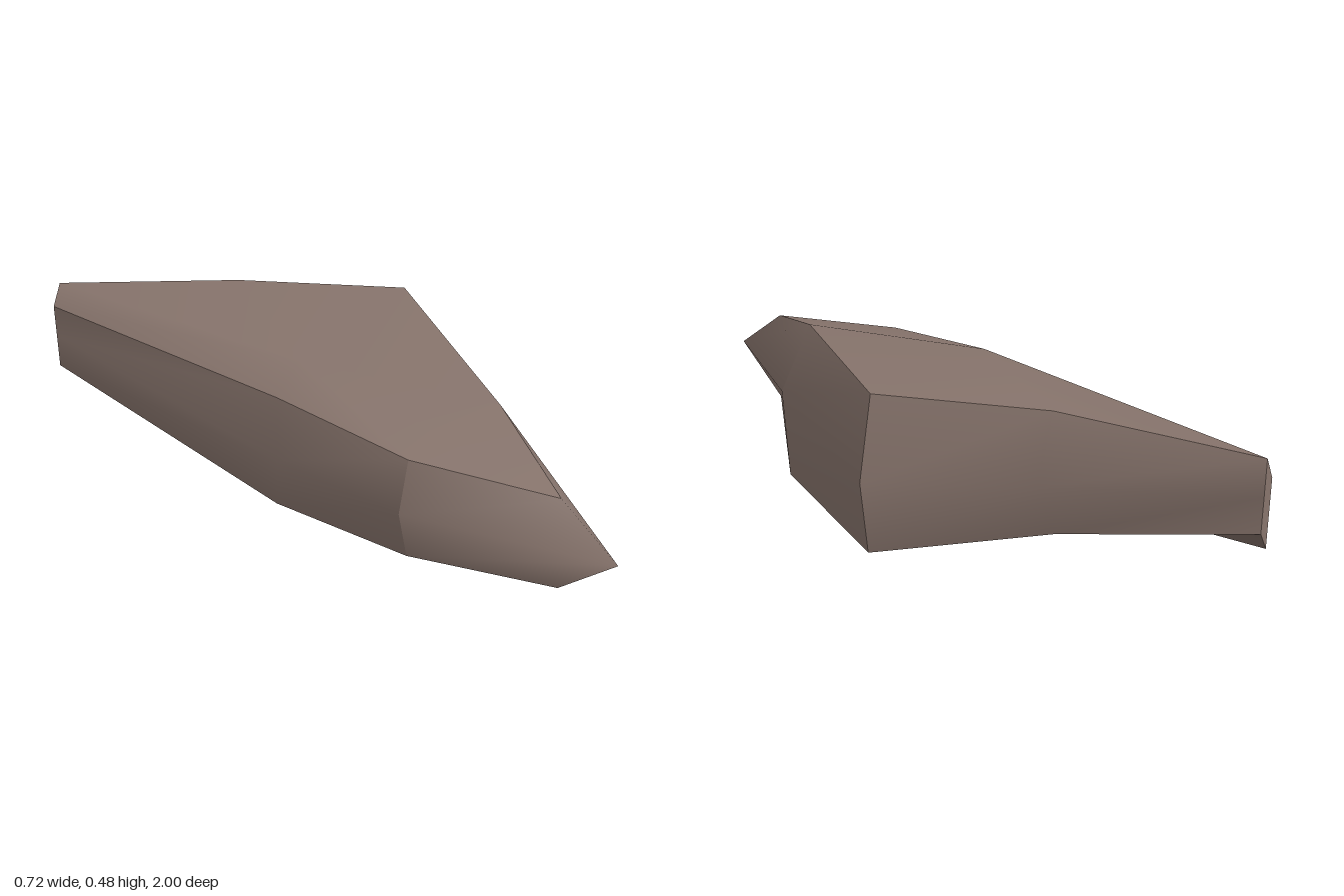
import * as THREE from 'three';

// Three rings of corners, running front tip -> left side -> back end -> right side
const top = [
  [-0.2, 0.365, 0.82], [-0.035, 0.452, 0.52], [0.3, 0.478, -0.04], [0.05, 0.468, -0.48],
  [-0.2, 0.395, -1], [-0.235, 0.327, -1], [-0.305, 0.395, -0.04], [-0.32, 0.385, 0.42],
];
const middle = [
  [-0.2, 0.23, 1], [0.095, 0.27, 0.52], [0.36, 0.23, -0.05], [0.11, 0.26, -0.48],
  [-0.2, 0.28, -1], [-0.235, 0.22, -1], [-0.36, 0.23, 0], [-0.36, 0.23, 0.42],
];
const bottom = [
  [-0.2, 0.075, 0.83], [0.11, 0.005, 0.48], [0.33, 0, -0.05], [0.03, 0.086, -0.48],
  [-0.2, 0.17, -1], [-0.235, 0.112, -1], [-0.32, 0.04, -0.04], [-0.32, 0.065, 0.42],
];
const rings = [bottom, middle, top];

export function createModel() {
  const group = new THREE.Group();
  group.name = 'stoneShard';
  const stone = new THREE.MeshStandardMaterial({ color: 0x87746c });
  stone.name = 'brown stone';

  function addMesh(name, points, index) {
    const geometry = new THREE.BufferGeometry();
    geometry.setAttribute('position', new THREE.Float32BufferAttribute(points.flat(), 3));
    geometry.setIndex(index);
    geometry.computeVertexNormals();
    const mesh = new THREE.Mesh(geometry, stone);
    mesh.name = name;
    group.add(mesh);
  }

  // Side wall through the given corners, smooth inside and sharp at its borders
  function addWall(name, corners) {
    const n = corners.length;
    const points = rings.flatMap((ring) => corners.map((c) => ring[c]));
    const index = [];
    for (let row = 0; row < 2; row++) {
      for (let i = 0; i < n - 1; i++) {
        const a = row * n + i, b = a + 1, c = b + n, d = a + n;
        index.push(a, b, c, a, c, d);
      }
    }
    addMesh(name, points, index);
  }

  // Cap fanned around an inner point
  function addCap(name, centre, ring, up) {
    const index = [];
    for (let i = 0; i < ring.length; i++) {
      const a = 1 + i, b = 1 + ((i + 1) % ring.length);
      index.push(0, ...(up ? [a, b] : [b, a]));
    }
    addMesh(name, [centre, ...ring], index);
  }

  addWall('frontPoint', [7, 0, 1]);
  addWall('leftFrontWall', [1, 2]);
  addWall('leftBackWall', [2, 3, 4]);
  addWall('backEnd', [4, 5]);
  addWall('rightWall', [5, 6, 7]);
  addCap('topFace', [-0.2, 0.463, -0.04], top, true);
  addCap('underside', [-0.2, 0.062, -0.04], bottom, false);
  return group;
}
